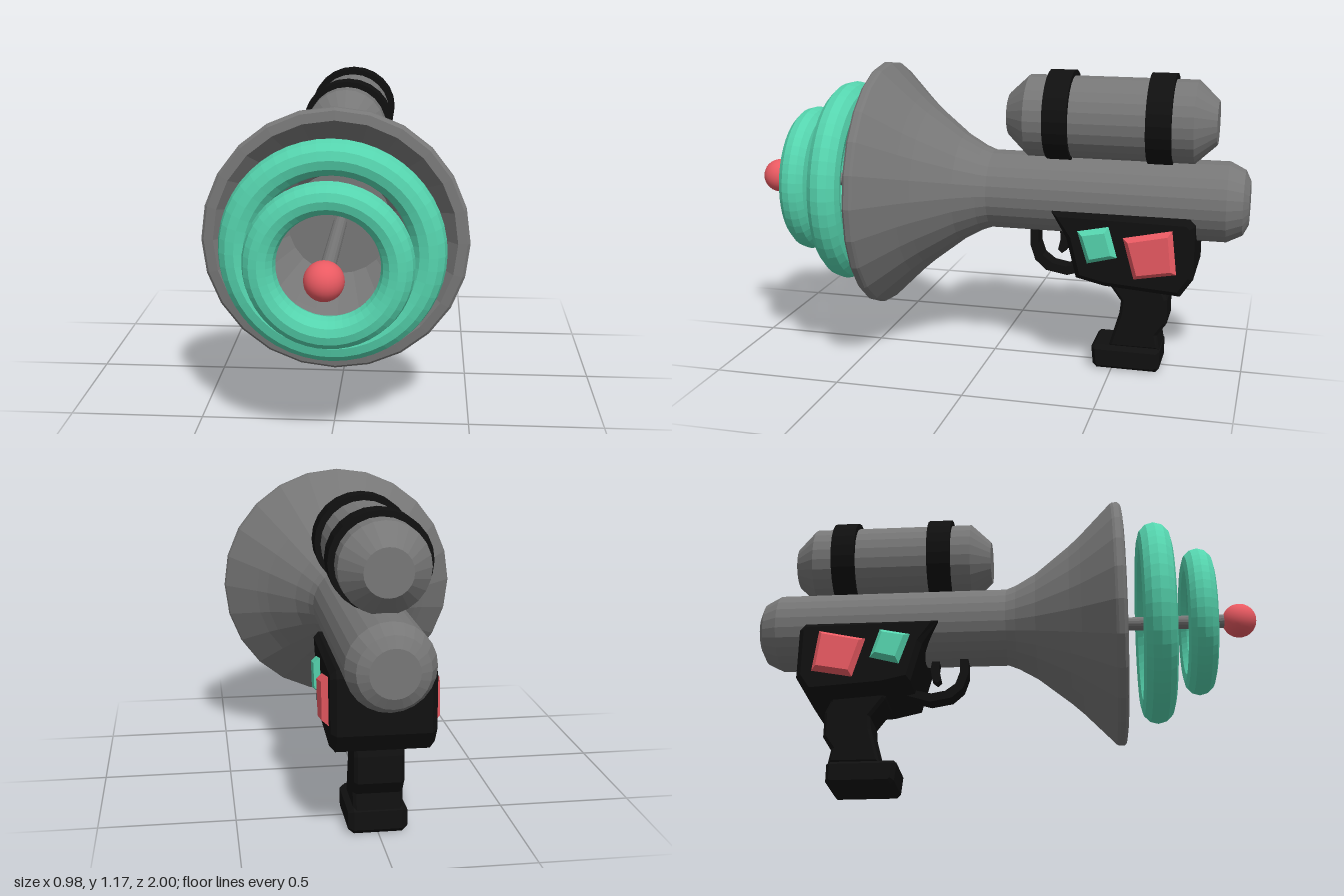
import * as THREE from 'three';

const mat = (color, flat = true) => new THREE.MeshStandardMaterial({ color, flatShading: flat });
const GREY = mat(0x777777), BLACK = mat(0x101010), GREEN = mat(0x55d4ae), RED = mat(0xea5a62);
const RED_SMOOTH = mat(0xea5a62, false);
const AXIS = 0.685; // height of the barrel axis

export function createModel() {
  const model = new THREE.Group();

  const add = (name, geometry, material, x = 0, y = 0, z = 0) => {
    const mesh = new THREE.Mesh(geometry, material);
    mesh.name = name;
    mesh.position.set(x, y, z);
    model.add(mesh);
    return mesh;
  };

  // Solid of revolution along z; profile is [radius, z] from back to front
  const turned = (profile, sides = 24) =>
    new THREE.LatheGeometry(profile.map(([r, z]) => new THREE.Vector2(r, z)), sides).rotateX(Math.PI / 2);

  // Side outline in [z, y], extruded across x to a total width with bevelled edges
  const slab = (outline, width, bevel = 0, bevelDepth = bevel) => {
    const shape = new THREE.Shape(outline.map(([z, y]) => new THREE.Vector2(-z, y)));
    return new THREE.ExtrudeGeometry(shape, {
      depth: width - 2 * bevelDepth, bevelEnabled: bevel > 0, bevelSegments: 1,
      bevelSize: bevel, bevelOffset: -bevel, bevelThickness: bevelDepth,
    }).translate(0, 0, bevelDepth - width / 2).rotateY(Math.PI / 2);
  };

  // Barrel flaring into a hollow horn
  add('barrelAndHorn', turned([
    [0, -1], [0.085, -1], [0.125, -0.98], [0.155, -0.92], [0.155, 0.0], [0.17, 0.04],
    [0.215, 0.12], [0.32, 0.255], [0.36, 0.3], [0.485, 0.425], [0.49, 0.435], [0.49, 0.455],
    [0.48, 0.465], [0.445, 0.47], [0.32, 0.32], [0.2, 0.2], [0, 0.2],
  ]), GREY, 0, AXIS, 0);

  // Antenna with two emitter rings and a ball tip
  add('antennaRod', new THREE.CylinderGeometry(0.027, 0.027, 0.73, 16).rotateX(Math.PI / 2), GREY, 0, AXIS, 0.555);
  add('largeRing', new THREE.TorusGeometry(0.34, 0.065, 12, 48), GREEN, 0, AXIS, 0.595);
  add('smallRing', new THREE.TorusGeometry(0.237, 0.058, 12, 48), GREEN, 0, AXIS, 0.765);
  add('antennaTip', new THREE.SphereGeometry(0.068, 24, 16), RED_SMOOTH, 0, AXIS, 0.93);

  // Tank on top, held by two straps
  add('tank', turned([
    [0, -0.87], [0.085, -0.87], [0.16, -0.79], [0.16, -0.145], [0.085, -0.065], [0, -0.065],
  ]), GREY, 0, 0.988, 0);
  for (const [name, z] of [['frontStrap', -0.272], ['rearStrap', -0.662]]) {
    const strap = new THREE.CylinderGeometry(0.183, 0.183, 0.095, 24).rotateX(Math.PI / 2);
    add(name, strap, BLACK, 0, 0.994, z).scale.y = 0.96;
  }

  // Housing under the barrel
  add('gripHousing', slab([
    [-0.265, 0.645], [-0.325, 0.545], [-0.365, 0.39], [-0.475, 0.365], [-0.765, 0.345],
    [-0.812, 0.415], [-0.812, 0.62], [-0.79, 0.645],
  ], 0.37, 0.02), BLACK);

  // Handle and its foot
  add('handle', slab([
    [-0.46, 0.4], [-0.475, 0.355], [-0.53, 0.28], [-0.525, 0.23], [-0.485, 0.09],
    [-0.685, 0.09], [-0.675, 0.15], [-0.71, 0.2], [-0.71, 0.3], [-0.69, 0.345], [-0.69, 0.4],
  ], 0.18, 0.012), BLACK);
  add('handleFoot', slab([
    [-0.418, 0.085], [-0.425, 0.015], [-0.44, 0], [-0.675, 0], [-0.688, 0.015],
    [-0.688, 0.085], [-0.675, 0.095], [-0.43, 0.095],
  ], 0.215, 0.015, 0.02), BLACK);

  // Trigger guard and trigger
  add('triggerGuard', slab([
    [-0.155, 0.55], [-0.155, 0.47], [-0.175, 0.41], [-0.22, 0.37], [-0.305, 0.355], [-0.42, 0.39],
    [-0.39, 0.41], [-0.3, 0.39], [-0.245, 0.4], [-0.205, 0.43], [-0.188, 0.48], [-0.188, 0.55],
  ], 0.07), BLACK);
  add('trigger', slab([
    [-0.27, 0.55], [-0.275, 0.5], [-0.265, 0.455], [-0.28, 0.44], [-0.3, 0.455],
    [-0.308, 0.5], [-0.3, 0.55],
  ], 0.045), BLACK);

  // Tilted bevelled buttons on both sides
  const buttons = [
    ['greenButton', GREEN, [[-0.37, 0.58], [-0.41, 0.455], [-0.525, 0.485], [-0.49, 0.605]]],
    ['redButton', RED, [[-0.545, 0.565], [-0.59, 0.405], [-0.75, 0.435], [-0.73, 0.605]]],
  ];
  for (const [name, material, outline] of buttons)
    for (const side of [1, -1])
      add((side > 0 ? 'left ' : 'right ') + name, slab(outline, 0.06, 0.018, 0.022), material, side * 0.177, 0, 0);

  return model;
}
